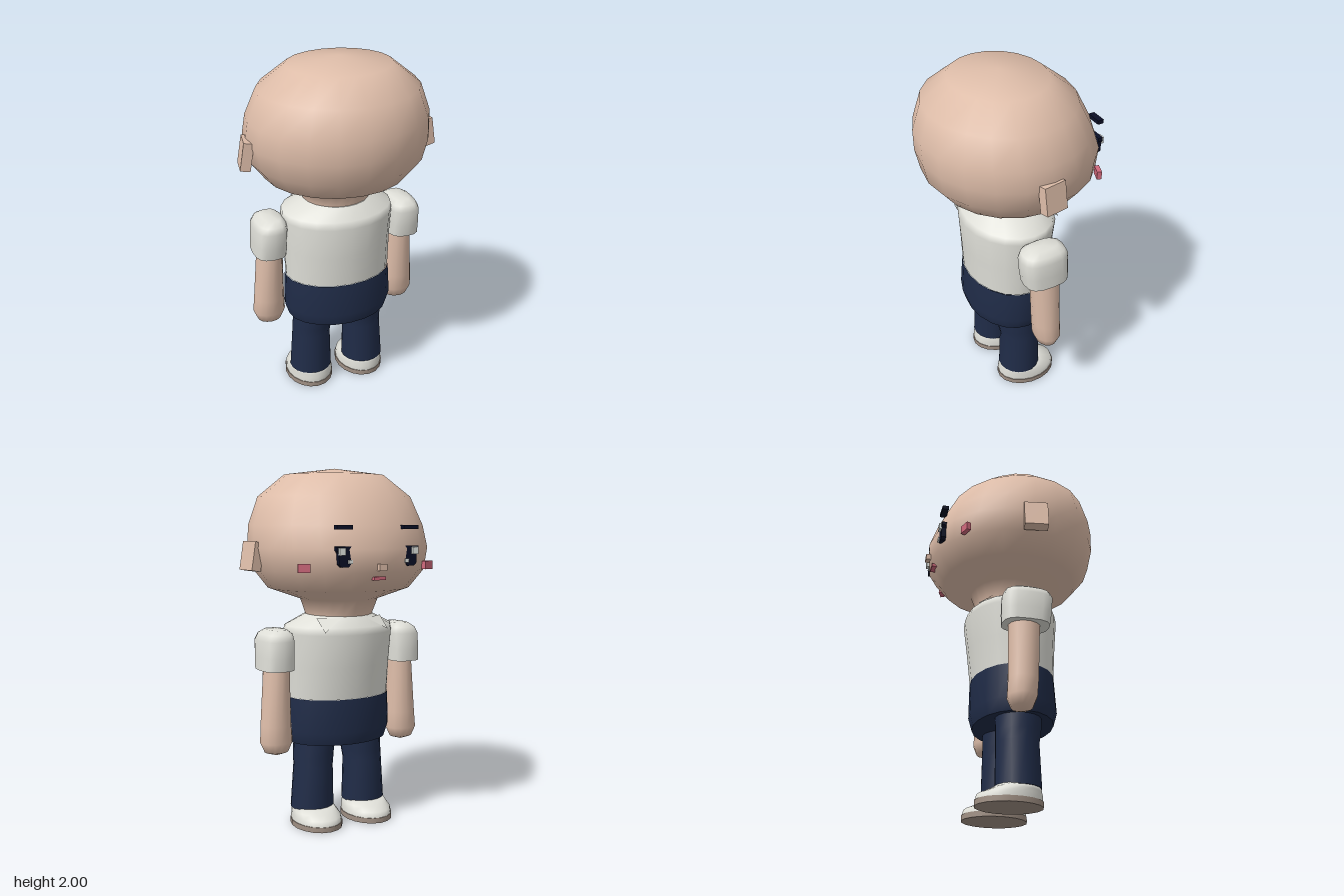
import * as THREE from 'three';

const mat = (name, color) => {
  const m = new THREE.MeshStandardMaterial({ color });
  m.name = name;
  return m;
};

// Smooth skin over stacked oval rings [y, cx, cz, rx, rz], listed bottom to top.
// sq < 1 makes the ovals boxier; a repeated ring makes a hard edge.
function loft(rings, n = 20, sq = 1) {
  const pos = [], idx = [];
  const bend = (v) => Math.sign(v) * Math.pow(Math.abs(v), sq);
  for (const [y, cx, cz, rx, rz] of rings) {
    for (let j = 0; j < n; j++) {
      const a = (j / n) * Math.PI * 2;
      pos.push(cx + rx * bend(Math.sin(a)), y, cz + rz * bend(Math.cos(a)));
    }
  }
  for (let i = 0; i < rings.length - 1; i++) {
    for (let j = 0; j < n; j++) {
      const k = (j + 1) % n;
      const a = i * n + j, b = i * n + k, c = b + n, d = a + n;
      if (rings[i][3] > 0) idx.push(a, b, c);
      if (rings[i + 1][3] > 0) idx.push(a, c, d);
    }
  }
  const g = new THREE.BufferGeometry();
  g.setAttribute('position', new THREE.Float32BufferAttribute(pos, 3));
  g.setIndex(idx);
  g.computeVertexNormals();
  // Pole vertices point straight up or down.
  rings.forEach((r, i) => {
    if (r[3] > 0) return;
    for (let j = 0; j < n; j++) g.attributes.normal.setXYZ(i * n + j, 0, i === 0 ? -1 : 1, 0);
  });
  return g;
}

export function createModel() {
  const root = new THREE.Group();
  const skin = mat('skin', 0xdebda9);
  const cloth = mat('white cloth', 0xdfdfd8);
  const navy = mat('navy trousers', 0x202c48);
  const ink = mat('dark eyes', 0x0a0f26);
  const pink = mat('pink', 0xd0697c);
  const rubber = mat('sole', 0xa09084);
  const glint = mat('eye highlight', 0xe4e8e4);
  const flap = cloth.clone();
  flap.name = 'collar cloth';
  flap.side = THREE.DoubleSide;

  const add = (name, geo, material) => {
    const m = new THREE.Mesh(geo, material);
    m.name = name;
    root.add(m);
    return m;
  };
  const box = (name, material, size, at, rot = [0, 0, 0]) => {
    const m = add(name, new THREE.BoxGeometry(...size), material);
    m.position.set(...at);
    m.rotation.set(...rot);
    return m;
  };

  // Head and neck
  add('head', loft([
    [1.14, 0, -0.005, 0.185, 0.175],
    [1.20, 0, -0.005, 0.19, 0.183],
    [1.285, 0, -0.01, 0.222, 0.21],
    [1.347, 0, -0.003, 0.40, 0.383],
    [1.45, 0, -0.005, 0.48, 0.467],
    [1.57, 0, 0.005, 0.507, 0.483],
    [1.69, 0, 0.028, 0.495, 0.463],
    [1.845, 0, 0.045, 0.435, 0.40],
    [1.965, 0, 0.05, 0.285, 0.258],
    [2.0, 0, 0.045, 0, 0],
  ]), skin);

  // Shirt body
  add('shirt', loft([
    [0.74, 0, 0.015, 0.305, 0.227],
    [0.92, 0, 0.01, 0.31, 0.242],
    [1.10, 0, 0.005, 0.32, 0.26],
    [1.14, 0, 0.003, 0.315, 0.245],
    [1.20, 0, 0, 0.19, 0.183],
    [1.20, 0, 0, 0.19, 0.183],
    [1.20, 0, 0, 0, 0],
  ]), cloth);

  // Trouser hips
  add('hips', loft([
    [0.48, 0, 0.02, 0, 0],
    [0.48, 0, 0.02, 0.295, 0.218],
    [0.48, 0, 0.02, 0.295, 0.218],
    [0.55, 0, 0.02, 0.318, 0.237],
    [0.74, 0, 0.015, 0.308, 0.229],
  ]), navy);

  // Nose and mouth (the face looks toward -z)
  box('nose', skin, [0.044, 0.034, 0.035], [0, 1.478, -0.478]);
  box('mouth', pink, [0.07, 0.018, 0.03], [0, 1.42, -0.447]);

  for (const s of [-1, 1]) {
    const side = s > 0 ? 'left' : 'right';

    // Ears
    box(side + ' ear', skin, [0.055, 0.155, 0.13], [s * 0.51, 1.525, 0.025], [0, s * 0.15, s * 0.165]);

    // Eyes, brows and cheeks
    const eye = new THREE.Shape([
      [0.15, 1.585], [0.243, 1.585], [0.243, 1.565], [0.232, 1.55],
      [0.23, 1.495], [0.215, 1.48], [0.175, 1.48], [0.16, 1.50], [0.16, 1.56],
    ].map(([x, y]) => new THREE.Vector2(s * x, y)));
    const eyeGeo = new THREE.ExtrudeGeometry(eye, { depth: 0.027, bevelEnabled: false });
    eyeGeo.translate(0, 0, -0.447);
    add(side + ' eye', eyeGeo, ink);
    box(side + ' upper eye highlight', glint, [0.035, 0.038, 0.014], [s * 0.217, 1.56, -0.453]);
    box(side + ' lower eye highlight', glint, [0.024, 0.02, 0.012], [s * 0.168, 1.508, -0.45]);
    box(side + ' brow', ink, [0.09, 0.022, 0.035], [s * 0.197, 1.682, -0.428]);
    box(side + ' cheek', pink, [0.065, 0.045, 0.025], [s * 0.374, 1.475, -0.335], [0, s * -0.35, 0]);

    // Collar flap
    const collar = new THREE.BufferGeometry();
    collar.setAttribute('position', new THREE.Float32BufferAttribute([
      s * 0.08, 1.185, -0.185, s * 0.2, 1.19, -0.125, s * 0.195, 1.12, -0.222,
    ], 3));
    collar.computeVertexNormals();
    add(side + ' collar', collar, flap);

    // Sleeve
    add(side + ' sleeve', loft([
      [0.91, s * 0.4, -0.01, 0, 0],
      [0.91, s * 0.4, -0.01, 0.092, 0.128],
      [0.91, s * 0.4, -0.01, 0.092, 0.128],
      [0.98, s * 0.398, -0.005, 0.092, 0.134],
      [1.07, s * 0.395, 0, 0.092, 0.136],
      [1.105, s * 0.39, 0, 0.08, 0.122],
      [1.128, s * 0.385, 0, 0.05, 0.085],
      [1.13, s * 0.385, 0, 0, 0],
    ], 16, 0.7), cloth);

    // Arm and hand
    add(side + ' arm', loft([
      [0.428, s * 0.403, -0.033, 0, 0],
      [0.45, s * 0.403, -0.033, 0.068, 0.056],
      [0.505, s * 0.403, -0.032, 0.093, 0.078],
      [0.60, s * 0.402, -0.025, 0.087, 0.08],
      [0.92, s * 0.392, -0.015, 0.072, 0.086],
    ], 14), skin);

    // Trouser leg
    add(side + ' leg', loft([
      [0.095, s * 0.166, 0.008, 0, 0],
      [0.095, s * 0.166, 0.008, 0.124, 0.122],
      [0.095, s * 0.166, 0.008, 0.124, 0.122],
      [0.34, s * 0.16, 0.006, 0.112, 0.116],
      [0.40, s * 0.155, 0.012, 0.115, 0.122],
      [0.52, s * 0.147, 0.015, 0.116, 0.126],
    ], 18), navy);

    // Shoe and sole
    add(side + ' shoe', loft([
      [0.03, s * 0.163, -0.04, 0.136, 0.177],
      [0.06, s * 0.163, -0.036, 0.134, 0.172],
      [0.08, s * 0.164, -0.015, 0.127, 0.145],
      [0.105, s * 0.166, 0.005, 0.118, 0.122],
      [0.105, s * 0.166, 0.005, 0, 0],
    ], 18), cloth);
    add(side + ' sole', loft([
      [0, s * 0.163, -0.04, 0, 0],
      [0, s * 0.163, -0.04, 0.14, 0.18],
      [0, s * 0.163, -0.04, 0.14, 0.18],
      [0.03, s * 0.163, -0.04, 0.14, 0.18],
      [0.03, s * 0.163, -0.04, 0.14, 0.18],
      [0.03, s * 0.163, -0.04, 0, 0],
    ], 18), rubber);
  }
  return root;
}
